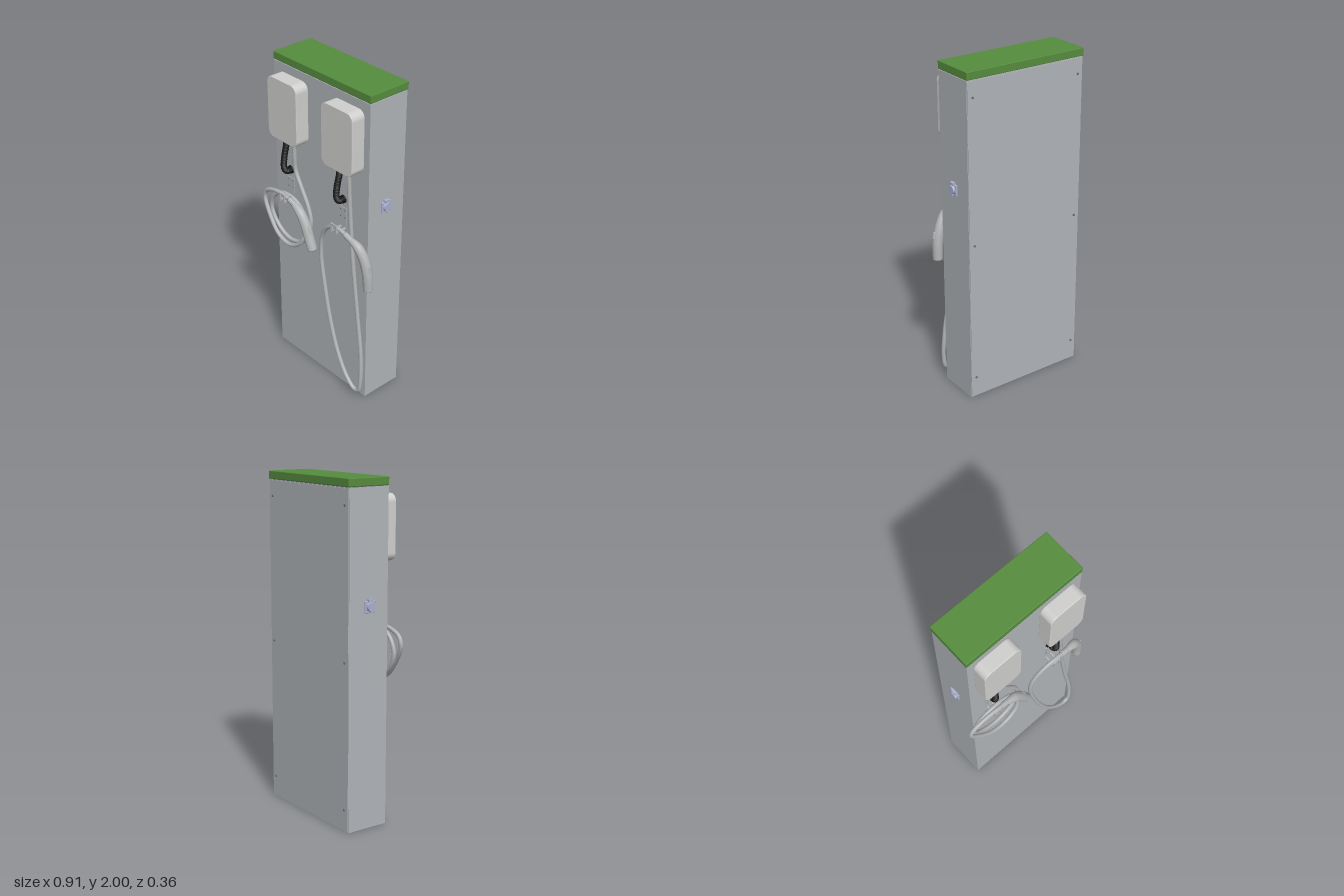
import * as THREE from 'three';
import { RoundedBoxGeometry } from 'three/addons/geometries/RoundedBoxGeometry.js';

const mat = (name, color) => Object.assign(new THREE.MeshStandardMaterial({ color }), { name });
const V = (p) => new THREE.Vector3(...p);

export function createModel() {
  const root = new THREE.Group();
  root.name = 'chargingPedestal';
  const M = {
    body: mat('cabinet grey', 0xb0b4b8),
    cap: mat('cap green', 0x568c3e),
    box: mat('charger light grey', 0xcfcfcd),
    cable: mat('cable grey', 0xb2b4b5),
    black: mat('conduit black', 0x161616),
    socket: mat('socket blue grey', 0xaab0cc),
    dark: mat('fastener grey', 0x707377),
  };
  const add = (name, geo, material, pos = [0, 0, 0], parent = root) => {
    const m = new THREE.Mesh(geo, material);
    m.name = name;
    m.position.set(...pos);
    parent.add(m);
    return m;
  };
  const box = (name, s, p, material, parent) => add(name, new THREE.BoxGeometry(...s), material, p, parent);
  const curveOf = (pts) => new THREE.CatmullRomCurve3(pts.map(V), false, 'centripetal');

  // Tube whose radius follows a function of its length
  const sweep = (name, pts, radius, seg, material, parent) => {
    const c = curveOf(pts), sides = 16;
    const g = new THREE.TubeGeometry(c, seg, 1, sides);
    const p = g.attributes.position, v = new THREE.Vector3();
    for (let i = 0; i < p.count; i++) {
      const t = Math.floor(i / (sides + 1)) / seg, o = c.getPointAt(t);
      v.fromBufferAttribute(p, i).sub(o).multiplyScalar(radius(t)).add(o);
      p.setXYZ(i, v.x, v.y, v.z);
    }
    g.computeVertexNormals();
    return add(name, g, material, [0, 0, 0], parent);
  };
  // Rectangular frame in plan, extruded upwards
  const frame = (w, d, wall, h) => {
    const s = new THREE.Shape(), q = new THREE.Path();
    const rect = (path, a, b) => path.moveTo(-a, -b).lineTo(a, -b).lineTo(a, b).lineTo(-a, b).closePath();
    rect(s, w / 2, d / 2);
    rect(q, w / 2 - wall, d / 2 - wall);
    s.holes.push(q);
    return new THREE.ExtrudeGeometry(s, { depth: h, bevelEnabled: false }).rotateX(-Math.PI / 2);
  };
  const roundRect = (w, h, r) => {
    const s = new THREE.Shape(), a = w / 2, b = h / 2;
    s.moveTo(-a + r, -b).lineTo(a - r, -b).absarc(a - r, -b + r, r, -Math.PI / 2, 0);
    s.lineTo(a, b - r).absarc(a - r, b - r, r, 0, Math.PI / 2);
    s.lineTo(-a + r, b).absarc(-a + r, b - r, r, Math.PI / 2, Math.PI);
    s.lineTo(-a, -b + r).absarc(-a + r, -b + r, r, Math.PI, Math.PI * 1.5);
    return s;
  };

  // Hollow cabinet, foot flange, recessed floor, back panel and cap
  const cx = 0.005;
  add('cabinet', frame(0.78, 0.265, 0.008, 1.95), M.body, [cx, 0, -0.0425]);
  add('footFlange', frame(0.776, 0.261, 0.035, 0.008), M.body, [cx, 0.001, -0.0425]);
  box('cabinetFloor', [0.764, 0.006, 0.249], [cx, 0.08, -0.0425], M.body);
  add('floorGland', new THREE.CylinderGeometry(0.055, 0.055, 0.012, 32), M.box, [cx, 0.073, -0.07]);
  box('backPanel', [0.774, 1.94, 0.004], [cx, 0.975, -0.177], M.body);
  box('capSeam', [0.77, 0.008, 0.255], [cx, 1.952, -0.0425], M.dark);
  add('topCap', new RoundedBoxGeometry(0.786, 0.046, 0.275, 2, 0.004), M.cap, [cx, 1.977, -0.0455]);
  for (const x of [-0.35, 0.36]) for (const y of [0.13, 0.99, 1.855])
    add('backScrew', new THREE.CylinderGeometry(0.007, 0.007, 0.005, 16).rotateX(Math.PI / 2), M.dark, [x, y, -0.181]);

  // Lidded socket on each side
  for (const s of [-1, 1]) {
    const g = new THREE.Group();
    g.name = 'sideSocket';
    g.position.set(cx + s * 0.39, 1.3, -0.038);
    g.rotation.y = s * Math.PI / 2;
    root.add(g);
    add('socketPlate', new RoundedBoxGeometry(0.07, 0.068, 0.012, 2, 0.004), M.socket, [0, -0.004, 0.005], g);
    add('socketLid', new THREE.CylinderGeometry(0.026, 0.03, 0.014, 8).rotateX(Math.PI / 2), M.socket, [0, -0.002, 0.017], g);
    box('lidHinge', [0.032, 0.016, 0.018], [0, 0.032, 0.01], M.socket, g);
    box('lidTab', [0.016, 0.012, 0.012], [0, -0.032, 0.016], M.socket, g);
  }

  // Wall chargers with conduit, cable rest and screws
  for (const x of [-0.22, 0.23]) {
    const g = new THREE.Group();
    g.name = 'chargerStation';
    g.position.x = x;
    root.add(g);
    const shell = new THREE.ExtrudeGeometry(roundRect(0.238, 0.366, 0.04), {
      depth: 0.079, bevelThickness: 0.005, bevelSize: 0.005, bevelSegments: 3, curveSegments: 10 });
    add('chargerShell', shell, M.box, [0, 1.713, 0.094], g);
    const px = -0.035;
    sweep('conduit', [[px + 0.005, 1.54, 0.125], [px + 0.005, 1.48, 0.127], [px + 0.002, 1.4, 0.142],
      [px, 1.335, 0.143], [px, 1.305, 0.125], [px, 1.3, 0.085]],
      (t) => 0.0165 + 0.0028 * Math.sin(t * Math.PI * 60), 180, M.black, g);
    add('conduitGland', new THREE.CylinderGeometry(0.023, 0.025, 0.012, 24).rotateX(Math.PI / 2), M.black, [px, 1.303, 0.095], g);
    box('restPlate', [0.052, 0.11, 0.004], [px, 1.195, 0.0915], M.body, g);
    for (const dx of [-0.018, 0.018]) {
      for (const y of [1.19, 1.235])
        add('restScrew', new THREE.CylinderGeometry(0.004, 0.004, 0.003, 10).rotateX(Math.PI / 2), M.dark, [px + dx, y, 0.0945], g);
      box('restProng', [0.012, 0.055, 0.008], [px + dx, 1.14, 0.165], M.cable, g);
      box('restArm', [0.012, 0.008, 0.075], [px + dx, 1.12, 0.129], M.cable, g);
    }
    box('restBridge', [0.048, 0.012, 0.008], [px, 1.162, 0.164], M.cable, g);
  }

  // Charging cables
  const cable = (name, pts) => add(name, new THREE.TubeGeometry(curveOf(pts), 260, 0.0125, 12), M.cable);
  cable('coiledCable', [
    [-0.195, 1.54, 0.118], [-0.195, 1.42, 0.113], [-0.194, 1.33, 0.108], [-0.145, 1.235, 0.108], [-0.085, 1.125, 0.108],
    [-0.062, 1.04, 0.11], [-0.085, 0.93, 0.115], [-0.15, 0.865, 0.118], [-0.25, 0.848, 0.122], [-0.35, 0.9, 0.122],
    [-0.405, 1.0, 0.124], [-0.375, 1.09, 0.124], [-0.3, 1.14, 0.124], [-0.2, 1.14, 0.122], [-0.115, 1.085, 0.124], [-0.085, 0.99, 0.136],
    [-0.11, 0.89, 0.15], [-0.2, 0.838, 0.158], [-0.3, 0.865, 0.16], [-0.39, 0.96, 0.152], [-0.443, 1.06, 0.143],
    [-0.425, 1.11, 0.143], [-0.35, 1.143, 0.145], [-0.26, 1.15, 0.148], [-0.18, 1.135, 0.148]]);
  cable('hangingCable', [
    [0.265, 1.54, 0.118], [0.266, 1.4, 0.113], [0.274, 1.2, 0.108], [0.295, 0.95, 0.108], [0.34, 0.6, 0.11],
    [0.385, 0.3, 0.118], [0.391, 0.13, 0.126], [0.378, 0.06, 0.128], [0.345, 0.05, 0.13], [0.28, 0.1, 0.13], [0.2, 0.23, 0.128],
    [0.13, 0.42, 0.125], [0.07, 0.66, 0.12], [0.036, 0.87, 0.118], [0.05, 1.0, 0.122], [0.1, 1.085, 0.13],
    [0.17, 1.128, 0.138], [0.23, 1.13, 0.14], [0.28, 1.115, 0.138]]);

  // Connector handles with strain relief rings and release button
  const profile = (t) => (t <= 0 || t >= 1 ? 0.0005
    : t < 0.14 ? 0.017 + 0.0025 * Math.sin(t * 260)
    : t < 0.3 ? 0.018 + (t - 0.14) * 0.065
    : 0.0284 + 0.0025 * Math.sin((t - 0.3) * 4.4));
  const connector = (pts) => {
    const g = new THREE.Group();
    g.name = 'connector';
    root.add(g);
    sweep('handle', pts, profile, 110, M.cable, g);
    const c = curveOf(pts), p = c.getPointAt(0.995), d = c.getTangentAt(0.995);
    const aim = new THREE.Quaternion().setFromUnitVectors(new THREE.Vector3(0, 1, 0), d);
    add('plugFace', new THREE.CylinderGeometry(0.022, 0.022, 0.006, 24), M.dark, p.toArray(), g).quaternion.copy(aim);
    const b = c.getPointAt(0.62), bd = c.getTangentAt(0.62);
    const side = new THREE.Vector3(-bd.y, bd.x, 0).normalize().multiplyScalar(0.027);
    add('releaseButton', new RoundedBoxGeometry(0.014, 0.045, 0.018, 2, 0.005), M.cable, b.add(side).toArray(), g)
      .quaternion.setFromUnitVectors(new THREE.Vector3(0, 1, 0), bd);
  };
  connector([[-0.215, 1.145, 0.148], [-0.17, 1.128, 0.147], [-0.115, 1.09, 0.144], [-0.075, 1.03, 0.142], [-0.042, 0.95, 0.142], [-0.012, 0.88, 0.142]]);
  connector([[0.255, 1.122, 0.138], [0.3, 1.105, 0.136], [0.355, 1.075, 0.128], [0.395, 1.01, 0.118], [0.418, 0.92, 0.112], [0.424, 0.808, 0.108]]);

  return root;
}
